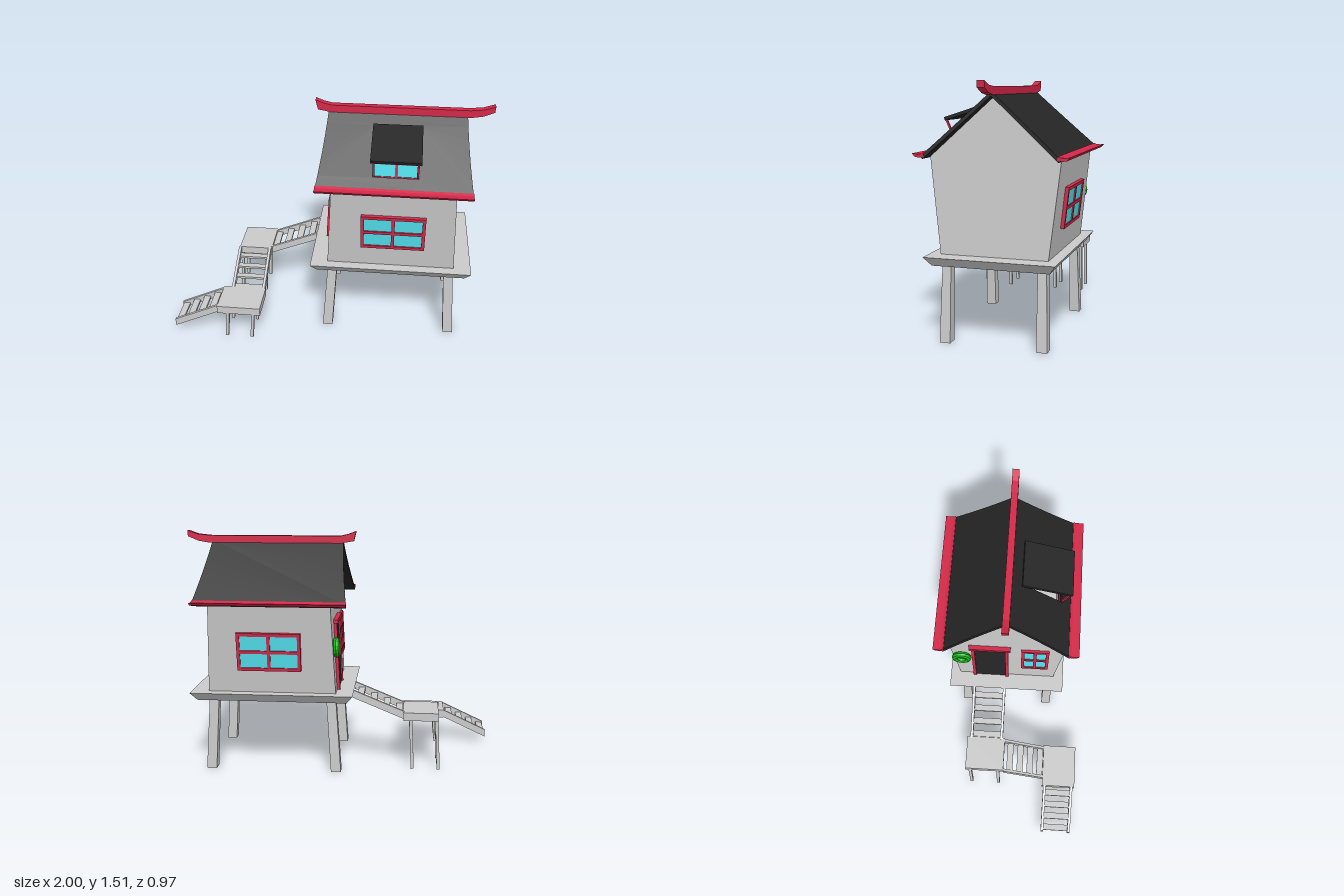
import * as THREE from 'three';

const mat = (color, side = THREE.FrontSide) =>
  new THREE.MeshStandardMaterial({ color, side, flatShading: true });
const grey = mat(0xcccccc), greyWall = mat(0xcccccc, THREE.DoubleSide);
const red = mat(0xd42848), black = mat(0x262626), cyan = mat(0x54e2f0), green = mat(0x14b414);

function add(parent, name, geo, material, x = 0, y = 0, z = 0) {
  const m = new THREE.Mesh(geo, material);
  m.name = name;
  m.position.set(x, y, z);
  parent.add(m);
  return m;
}

const box = (w, h, d) => new THREE.BoxGeometry(w, h, d);

// Box whose bottom and top rectangles [x0, x1, z0, z1] differ
function frustum(y0, y1, bottom, top) {
  const g = box(1, 1, 1), p = g.attributes.position;
  for (let i = 0; i < p.count; i++) {
    const up = p.getY(i) > 0, r = up ? top : bottom;
    p.setXYZ(i, r[p.getX(i) > 0 ? 1 : 0], up ? y1 : y0, r[p.getZ(i) > 0 ? 3 : 2]);
  }
  g.computeVertexNormals();
  return g;
}

// Square bar between two points
function bar(parent, name, a, b, t, material) {
  const A = new THREE.Vector3(...a), B = new THREE.Vector3(...b);
  const d = B.clone().sub(A), mid = A.add(B).multiplyScalar(0.5);
  const m = add(parent, name, box(t, d.length(), t), material, mid.x, mid.y, mid.z);
  m.quaternion.setFromUnitVectors(new THREE.Vector3(0, 1, 0), d.normalize());
}

// Flat outline in x/y extruded along z, centred on z = 0
function plate(points, depth) {
  const s = new THREE.Shape(points.map(p => new THREE.Vector2(...p)));
  return new THREE.ExtrudeGeometry(s, { depth, bevelEnabled: false }).translate(0, 0, -depth / 2);
}

// Convex flat polygon as a triangle fan
function polygon(pts) {
  const v = [];
  for (let i = 1; i < pts.length - 1; i++) v.push(...pts[0], ...pts[i], ...pts[i + 1]);
  const g = new THREE.BufferGeometry();
  g.setAttribute('position', new THREE.Float32BufferAttribute(v, 3));
  g.computeVertexNormals();
  return g;
}

// Four-pane window lying in local x/y, facing +z
function makeWindow(name, w, h) {
  const g = new THREE.Group(), t = 0.02, d = 0.035;
  g.name = name;
  add(g, 'glass', box(w - t, h - t, 0.02), cyan);
  for (const s of [-1, 0, 1]) {
    add(g, 'frameUpright', box(t, h, d), red, s * (w - t) / 2, 0, 0);
    add(g, 'frameRail', box(w, t, d), red, 0, s * (h - t) / 2, 0);
  }
  return g;
}

// Stair flight running along local +x from height y0 to y1
function makeFlight(name, run, y0, y1, width, steps) {
  const g = new THREE.Group(), h = 0.05;
  g.name = name;
  for (const s of [-1, 1])
    add(g, 'stringer', plate([[0, y0 - h], [run, y1 - h], [run, y1], [0, y0]], 0.018), grey, 0, 0, s * (width / 2 - 0.009));
  for (let i = 0; i < steps; i++) {
    const t = (i + 0.6) / steps;
    add(g, 'step', box(0.042, 0.015, width - 0.02), grey, run * t, y0 + (y1 - y0) * t - 0.025, 0);
  }
  return g;
}

function makeRoof() {
  const roof = new THREE.Group();
  roof.name = 'roof';
  const ridgeY = 1.455, dz = 0.407, dy = 0.362, S = Math.hypot(dz, dy), w0 = 0.427, w1 = 0.475;
  for (const side of [1, -1]) {
    const half = new THREE.Group();
    half.name = side > 0 ? 'frontSlope' : 'backSlope';
    if (side < 0) half.rotation.y = Math.PI;
    // Slab with slightly concave ends
    const s = new THREE.Shape();
    s.moveTo(-w0, 0);
    s.quadraticCurveTo(-w0 - 0.012, -S * 0.5, -w1, -S);
    s.lineTo(w1, -S);
    s.quadraticCurveTo(w0 + 0.012, -S * 0.5, w0, 0);
    if (side > 0) s.holes.push(new THREE.Path([[-0.13, -0.107], [0.145, -0.107], [0.145, -0.444], [-0.13, -0.444]]
      .map(p => new THREE.Vector2(...p))));
    const geo = new THREE.ExtrudeGeometry(s, { depth: 0.02, bevelEnabled: false, curveSegments: 6 });
    add(half, 'roofSlab', geo.translate(0, 0, -0.02), black, 0, ridgeY, 0).rotation.x = -Math.atan2(dz, dy);
    // Upturned eave, profile drawn in z/y
    const eave = plate([[0.385, 1.09], [0.415, 1.085], [0.442, 1.09], [0.456, 1.108], [0.43, 1.105], [0.407, 1.106], [0.39, 1.113]], 2 * w1);
    add(half, 'eave', eave.rotateY(-Math.PI / 2), red);
    roof.add(half);
  }
  // Ridge beam with raised ends
  add(roof, 'ridgeBeam', plate([[-0.495, 1.45], [-0.41, 1.435], [0.45, 1.435], [0.52, 1.447], [0.587, 1.475],
    [0.59, 1.513], [0.52, 1.49], [0.44, 1.482], [-0.41, 1.482], [-0.46, 1.494], [-0.51, 1.513]], 0.043), red);
  // Propped roof hatch
  add(roof, 'hatch', box(0.305, 0.02, 0.326), black, 0.007, 1.338, 0.235).rotation.x = Math.atan2(0.1, 0.31);
  for (const x of [-0.125, 0.14])
    bar(roof, 'hatchProp', [x, 1.285, 0.385], [x, 1.165, 0.332], 0.012, red);
  return roof;
}

function makeHouse() {
  const house = new THREE.Group();
  house.name = 'house';
  add(house, 'platform', frustum(0.468, 0.522, [-0.475, 0.475, -0.348, 0.348], [-0.513, 0.513, -0.388, 0.388]), grey);
  for (const sx of [-1, 1]) for (const sz of [-1, 1]) {
    const rect = (x0, x1, z0, z1) => [...[sx * x0, sx * x1].sort((a, b) => a - b), ...[sz * z0, sz * z1].sort((a, b) => a - b)];
    add(house, 'leg', frustum(0, 0.47, rect(0.373, 0.437, 0.26, 0.325), rect(0.345, 0.405, 0.26, 0.312)), grey);
  }

  // Walls: long sides lean out, gable ends lean in
  const y0 = 0.522, y1 = 1.09, bx = 0.405, bz = 0.322, tx = 0.378, tz = 0.388;
  const long = polygon([[-bx, y0, bz], [bx, y0, bz], [tx, y1, tz], [-tx, y1, tz]]);
  const gable = polygon([[bx, y0, bz], [bx, y0, -bz], [tx, y1, -tz], [0.362, 1.435, 0], [tx, y1, tz]]);
  for (const r of [0, Math.PI]) {
    add(house, 'longWall', long, greyWall).rotation.y = r;
    add(house, 'gableWall', gable, greyWall).rotation.y = r;
  }

  // Front and back windows follow the outward lean
  for (const s of [1, -1]) {
    const w = makeWindow(s > 0 ? 'frontWindow' : 'backWindow', 0.4, 0.245);
    w.position.set(0.008, 0.792, s * 0.358);
    w.rotation.order = 'YXZ';
    w.rotation.set(0.117, s > 0 ? 0 : Math.PI, 0);
    house.add(w);
  }

  // Entrance end, drawn in local x/y facing out of the wall
  const entry = new THREE.Group();
  entry.name = 'entranceWall';
  entry.position.set(-bx, y0, 0);
  entry.rotation.order = 'YXZ';
  entry.rotation.set(-0.048, -Math.PI / 2, 0);
  const door = new THREE.Group();
  door.name = 'door';
  door.position.x = -0.11;
  add(door, 'doorPanel', box(0.21, 0.43, 0.02), black, 0, 0.215, 0);
  for (const s of [-1, 1]) add(door, 'doorJamb', box(0.02, 0.44, 0.04), red, s * 0.11, 0.22, 0);
  add(door, 'lintel', box(0.27, 0.022, 0.06), red, 0, 0.446, 0);
  entry.add(door);
  const sideWindow = makeWindow('sideWindow', 0.18, 0.27);
  sideWindow.position.set(0.185, 0.295, 0);
  entry.add(sideWindow);
  add(entry, 'wreath', new THREE.TorusGeometry(0.044, 0.021, 8, 16), green, -0.298, 0.292, 0.018);
  house.add(entry, makeRoof());
  return house;
}

function makeStairs() {
  const stairs = new THREE.Group();
  stairs.name = 'stairs';
  const upper = makeFlight('upperFlight', 0.335, 0.522, 0.385, 0.225, 4);
  upper.position.set(-0.095, 0, -0.148);
  upper.rotation.y = Math.PI;
  const middle = makeFlight('middleFlight', 0.28, 0.385, 0.24, 0.225, 4);
  middle.position.set(-0.54, 0, -0.02);
  middle.rotation.y = -Math.PI / 2;
  const lower = makeFlight('lowerFlight', 0.3, 0.24, 0.1, 0.205, 4);
  lower.position.set(-0.7, 0, 0.367);
  lower.rotation.y = Math.PI;
  stairs.add(upper, middle, lower);

  // Landings on thin splayed posts
  add(stairs, 'upperLanding', box(0.225, 0.052, 0.26), grey, -0.533, 0.358, -0.15);
  add(stairs, 'lowerLanding', box(0.285, 0.054, 0.225), grey, -0.563, 0.213, 0.368);
  for (const [zs, top] of [[[-0.25, -0.057], 0.34], [[0.285, 0.468], 0.195]])
    for (const z of zs) for (const x of [-0.635, -0.468])
      bar(stairs, 'post', [x - 0.016, 0, z], [x, top, z], 0.02, grey);
  return stairs;
}

export function createModel() {
  const model = new THREE.Group();
  model.name = 'stiltHouse';
  const house = makeHouse();
  house.position.set(0.41, 0, -0.032);
  model.add(house, makeStairs());
  return model;
}
